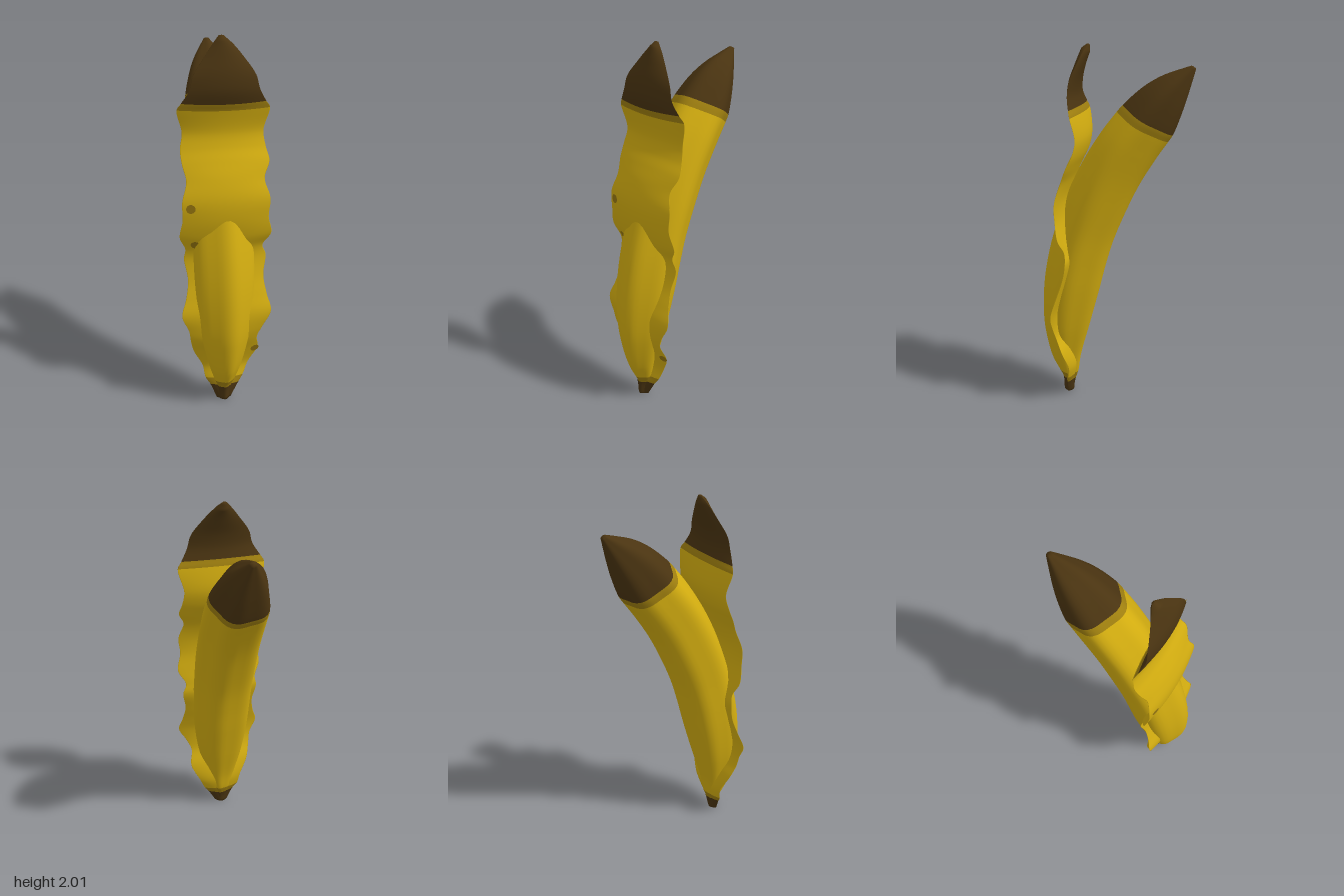
import * as THREE from 'three';

const STEPS = 6;   // rings between two stations
const SIDES = 40;  // points around a section

const paint = (name, color) => Object.assign(new THREE.MeshStandardMaterial({ color }), { name });

// Skin over closed rings; bands lists [material index, last station] from the bottom up
function loft(rings, bands) {
  const pos = [], idx = [];
  rings.forEach(r => r.forEach(p => pos.push(p.x, p.y, p.z)));
  const g = new THREE.BufferGeometry();
  let band = 0, start = 0;
  for (let i = 0; i < rings.length - 1; i++) {
    for (let j = 0; j < SIDES; j++) {
      const k = (j + 1) % SIDES;
      const a = i * SIDES + j, b = a + SIDES, c = i * SIDES + k, d = c + SIDES;
      idx.push(a, b, c, c, b, d);
    }
    // ring 0 is the collapsed cap, so station s sits at ring s * STEPS + 1
    if (i + 1 === bands[band][1] * STEPS + 1 || i === rings.length - 2) {
      g.addGroup(start, idx.length - start, bands[band][0]);
      start = idx.length;
      if (band < bands.length - 1) band++;
    }
  }
  g.setAttribute('position', new THREE.Float32BufferAttribute(pos, 3));
  g.setIndex(idx);
  g.computeVertexNormals();
  return g;
}

// Rings along two guide curves, closed at both ends
function makeRings(ptsA, ptsB, section) {
  const a = new THREE.CatmullRomCurve3(ptsA), b = new THREE.CatmullRomCurve3(ptsB);
  const n = (ptsA.length - 1) * STEPS, rings = [];
  for (let i = 0; i <= n; i++) {
    const t = i / n, ring = [];
    const at = section(a.getPoint(t), b.getPoint(t), a.getTangent(t));
    for (let j = 0; j < SIDES; j++) ring.push(at((j / SIDES) * Math.PI * 2));
    rings.push(ring);
  }
  const cap = ring => {
    const c = new THREE.Vector3();
    ring.forEach(p => c.addScaledVector(p, 1 / SIDES));
    return ring.map(() => c.clone());
  };
  return [cap(rings[0]), ...rings, cap(rings[n])];
}

// Fruit stations: front z, front y, back z, back y
const FRUIT = [
  [.31, 0, .26, 0], [.315, .085, .24, .08], [.335, .13, .225, .125], [.375, .22, .205, .24],
  [.41, .4, .155, .42], [.415, .53, .125, .53], [.402, .7, .09, .66], [.368, .88, .052, .81],
  [.315, 1.06, .01, .95], [.25, 1.23, -.05, 1.1], [.165, 1.4, -.13, 1.27], [.07, 1.55, -.22, 1.42],
  [-.015, 1.66, -.285, 1.515], [-.045, 1.695, -.307, 1.55], [-.15, 1.79, -.345, 1.65],
  [-.24, 1.845, -.37, 1.73], [-.33, 1.88, -.395, 1.82], [-.388, 1.9, -.412, 1.885],
];

// Peel stations: y, right edge x, left edge x, z
const PEEL = [
  [0, -.05, .03, .28], [.085, -.085, .075, .27], [.125, -.11, .10, .26], [.2, -.125, .13, .248],
  [.31, -.175, .18, .272], [.4, -.195, .168, .308], [.47, -.205, .195, .32], [.56, -.24, .24, .318],
  [.65, -.215, .22, .292], [.75, -.2, .205, .26], [.86, -.217, .22, .236], [.92, -.21, .2, .243],
  [1, -.24, .24, .268], [1.1, -.225, .22, .286], [1.2, -.225, .227, .285], [1.3, -.2, .2, .257],
  [1.38, -.217, .23, .222], [1.45, -.222, .215, .19], [1.53, -.21, .205, .174],
  [1.65, -.235, .232, .193], [1.685, -.215, .21, .204], [1.75, -.175, .175, .218],
  [1.82, -.155, .155, .212], [1.9, -.1, .1, .187], [1.96, -.055, .05, .164], [2, -.02, .005, .145],
];

export function createModel() {
  const group = new THREE.Group();
  const yellow = paint('yellow skin', 0xd4ae10);
  const olive = paint('olive band', 0xa0800f);
  const brown = paint('dark brown tip', 0x4a3411);
  const spotPaint = paint('ripe spot', 0x96760f);
  const skins = [yellow, olive, brown];

  // Curved fruit with a rounded five-sided section
  const fruitRings = makeRings(
    FRUIT.map(s => new THREE.Vector3(-.008, s[1], s[0])),
    FRUIT.map(s => new THREE.Vector3(-.008, s[3], s[2])),
    (f, b) => {
      const mid = f.clone().add(b).multiplyScalar(.5);
      const half = f.clone().sub(b).multiplyScalar(.5);
      const w = half.length();
      return q => {
        const r = 1 + .05 * Math.cos(5 * (q - 1.4));
        return mid.clone().addScaledVector(half, r * Math.sin(q))
          .add(new THREE.Vector3(w * r * Math.cos(q), 0, 0));
      };
    });
  const fruit = new THREE.Mesh(
    loft(fruitRings, [[2, 1], [1, 2], [0, 12], [1, 13], [2, 17]]), skins);
  fruit.name = 'fruit';

  // Wavy peel strip, thickest along its middle
  const peelRings = makeRings(
    PEEL.map(s => new THREE.Vector3(s[1], s[0], s[3])),
    PEEL.map(s => new THREE.Vector3(s[2], s[0], s[3])),
    (r, l, t) => {
      const mid = r.clone().add(l).multiplyScalar(.5);
      const half = (l.x - r.x) / 2;
      const n = new THREE.Vector3(0, -t.z, t.y).normalize();
      const thick = Math.min(.024, half * .6);
      return q => mid.clone()
        .addScaledVector(n, thick * Math.sin(q) * Math.abs(Math.sin(q)))
        .add(new THREE.Vector3(half * Math.cos(q), 0, 0));
    });
  const peel = new THREE.Mesh(
    loft(peelRings, [[2, 1], [1, 2], [0, 19], [1, 20], [2, 25]]), skins);
  peel.name = 'peel';
  group.add(fruit, peel);

  // Ripe spots laid on the front of the peel
  const P = peel.geometry.attributes.position, N = peel.geometry.attributes.normal;
  for (const [x, y] of [[-.185, 1.16], [-.165, .95], [.155, .31]]) {
    let best = 0, dist = Infinity;
    for (let i = 0; i < P.count; i++) {
      const d = Math.hypot(P.getX(i) - x, P.getY(i) - y);
      if (N.getZ(i) > .3 && d < dist) { dist = d; best = i; }
    }
    const p = new THREE.Vector3().fromBufferAttribute(P, best);
    const n = new THREE.Vector3().fromBufferAttribute(N, best);
    const spot = new THREE.Mesh(new THREE.CircleGeometry(.024, 16), spotPaint);
    spot.name = 'ripeSpot';
    spot.position.copy(p).addScaledVector(n, .004);
    spot.quaternion.setFromUnitVectors(new THREE.Vector3(0, 0, 1), n);
    group.add(spot);
  }
  return group;
}
